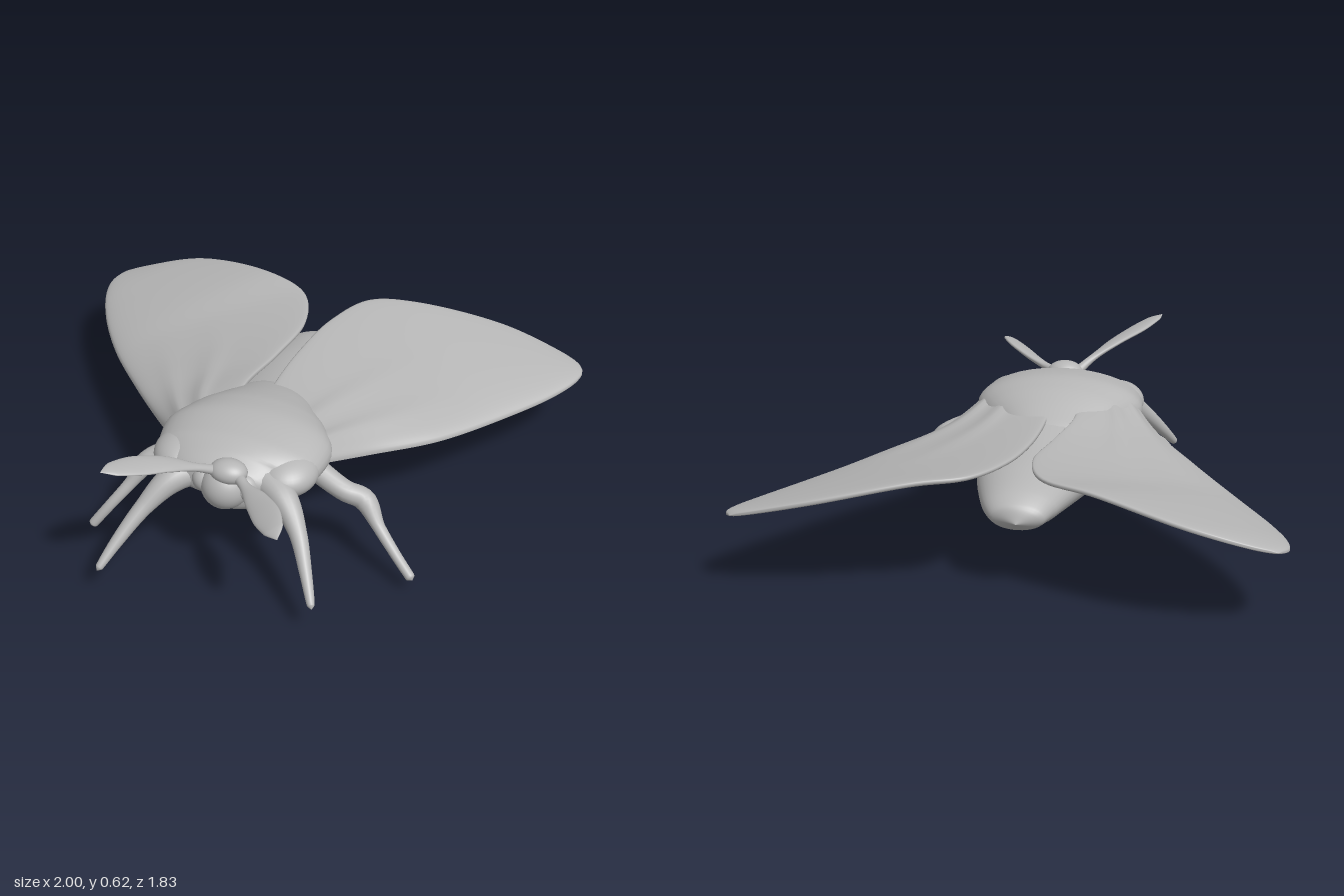
import * as THREE from 'three';

const grey = new THREE.MeshStandardMaterial({ color: 0xb6b6b6 });
grey.name = 'soft grey';
const V = (p) => new THREE.Vector3(p[0], p[1], p[2]);
const UP = new THREE.Vector3(0, 1, 0);

// Skin a stack of closed rings with smooth normals
function skin(name, rings, flip = false) {
  const n = rings[0].length, pos = [], idx = [];
  rings.forEach((r) => r.forEach((p) => pos.push(p.x, p.y, p.z)));
  for (let i = 0; i < rings.length - 1; i++) {
    for (let j = 0; j < n; j++) {
      const a = i * n + j, b = i * n + (j + 1) % n, c = a + n, d = b + n;
      if (flip) idx.push(a, c, b, b, c, d);
      else idx.push(a, b, c, b, d, c);
    }
  }
  const g = new THREE.BufferGeometry();
  g.setAttribute('position', new THREE.Float32BufferAttribute(pos, 3));
  g.setIndex(idx);
  g.computeVertexNormals();
  const mesh = new THREE.Mesh(g, grey);
  mesh.name = name;
  return mesh;
}

// Sweep an ellipse along stations [x, y, z, half width, half height], rolled about the path
function sweep(name, stations, { steps = 40, sides = 20, roll = 0 } = {}) {
  const path = new THREE.CatmullRomCurve3(stations.map(V), false, 'centripetal');
  const size = new THREE.CatmullRomCurve3(stations.map((s) => new THREE.Vector3(s[3], s[4] ?? s[3], 0)));
  const rings = [];
  for (let i = 0; i <= steps; i++) {
    const t = i / steps, p = path.getPoint(t), r = size.getPoint(t), dir = path.getTangent(t);
    const side = new THREE.Vector3().crossVectors(UP, dir).normalize().applyAxisAngle(dir, roll);
    const top = new THREE.Vector3().crossVectors(dir, side);
    const ring = [];
    for (let j = 0; j < sides; j++) {
      const a = (j / sides) * Math.PI * 2;
      ring.push(p.clone().addScaledVector(side, Math.cos(a) * Math.max(r.x, 0))
        .addScaledVector(top, Math.sin(a) * Math.max(r.y, 0)));
    }
    rings.push(ring);
  }
  return skin(name, rings);
}

function ball(name, x, y, z, rx, ry, rz) {
  const m = new THREE.Mesh(new THREE.SphereGeometry(1, 36, 24), grey);
  m.position.set(x, y, z);
  m.scale.set(rx, ry, rz);
  m.name = name;
  return m;
}

// Cambered wing between a leading edge and an inner/trailing edge that meet at the tip
function wing(name, lead, trail, flip) {
  const L = new THREE.CatmullRomCurve3(lead.map(V)), T = new THREE.CatmullRomCurve3(trail.map(V));
  const rings = [], bump = (s, at, width) => Math.exp(-(((s - at) / width) ** 2));
  for (let i = 0; i <= 64; i++) {
    const t = i / 64, thick = 0.019 * Math.sqrt(1 - t ** 8), ring = [];
    const front = L.getPointAt(t), back = T.getPointAt(t);
    for (let j = 0; j < 64; j++) {
      const a = (j / 64) * Math.PI * 2, s = (1 - Math.cos(a)) / 2, h = Math.sin(a);
      const p = front.clone().lerp(back, s);
      // blunt edges, arched camber, and soft folds fading away from the root
      p.y += thick * Math.sign(h) * Math.sqrt(Math.abs(h));
      p.y += 0.03 * Math.sin(Math.PI * Math.sqrt(s)) * (1 - t * t);
      p.y += 0.016 * Math.max(0, 1 - t / 0.55) * (bump(s, 0.2, 0.06) + bump(s, 0.48, 0.07));
      ring.push(p);
    }
    rings.push(ring);
  }
  return skin(name, rings, flip);
}

export function createModel() {
  const moth = new THREE.Group();
  moth.name = 'moth';

  // Abdomen and furry thorax that sinks into the wing roots
  moth.add(sweep('abdomen', [
    [-0.02, 0.37, 0.52, 0, 0], [-0.02, 0.36, 0.48, 0.12, 0.1], [-0.02, 0.345, 0.38, 0.2, 0.14],
    [-0.02, 0.325, 0.2, 0.25, 0.17], [-0.02, 0.31, 0.02, 0.255, 0.157], [-0.02, 0.305, -0.2, 0.225, 0.125],
    [-0.02, 0.305, -0.4, 0.18, 0.1], [-0.025, 0.3, -0.56, 0.135, 0.075], [-0.03, 0.285, -0.63, 0.095, 0.05],
    [-0.03, 0.275, -0.665, 0, 0],
  ], { steps: 60, sides: 36 }));
  moth.add(sweep('thorax', [
    [-0.02, 0.4, 0.57, 0, 0], [-0.02, 0.4, 0.54, 0.14, 0.06], [-0.025, 0.4, 0.48, 0.24, 0.095],
    [-0.025, 0.405, 0.4, 0.305, 0.12], [-0.025, 0.41, 0.28, 0.32, 0.13], [-0.03, 0.41, 0.16, 0.27, 0.118],
    [-0.035, 0.41, 0.06, 0.2, 0.09], [-0.045, 0.41, -0.05, 0.12, 0.05], [-0.05, 0.41, -0.15, 0, 0],
  ], { steps: 60, sides: 40 }));

  // Head with a crown tuft, eyes and shoulders
  moth.add(ball('head', -0.02, 0.39, 0.53, 0.09, 0.09, 0.09));
  moth.add(ball('crown', 0, 0.465, 0.55, 0.07, 0.045, 0.055));
  for (const s of [-1, 1]) {
    moth.add(ball('eye', -0.02 + s * 0.075, 0.4, 0.53, 0.05, 0.05, 0.05));
    moth.add(ball('shoulder', -0.025 + s * 0.2, 0.405, 0.4, 0.11, 0.075, 0.13));
  }

  // Wings
  moth.add(wing('leftWing',
    [[0.25, 0.42, 0.36], [0.4, 0.335, 0.11], [0.6, 0.295, -0.11], [0.8, 0.275, -0.385],
      [0.93, 0.273, -0.58], [0.99, 0.28, -0.7], [0.998, 0.287, -0.76], [0.97, 0.295, -0.805]],
    [[0, 0.48, 0.3], [-0.03, 0.46, 0], [-0.02, 0.45, -0.3], [0.03, 0.455, -0.55], [0.13, 0.46, -0.73],
      [0.3, 0.45, -0.79], [0.65, 0.38, -0.85], [0.9, 0.315, -0.825], [0.97, 0.295, -0.805]], true));
  moth.add(wing('rightWing',
    [[-0.29, 0.42, 0.36], [-0.42, 0.345, 0.17], [-0.6, 0.305, -0.06], [-0.8, 0.275, -0.33],
      [-0.93, 0.275, -0.55], [-0.99, 0.285, -0.7], [-1, 0.295, -0.79], [-0.97, 0.31, -0.86]],
    [[-0.08, 0.48, 0.3], [-0.13, 0.46, 0], [-0.09, 0.45, -0.25], [-0.06, 0.455, -0.5], [-0.13, 0.46, -0.7],
      [-0.32, 0.46, -0.81], [-0.65, 0.4, -0.915], [-0.88, 0.335, -0.89], [-0.97, 0.31, -0.86]], false));

  // Legs: thick at the hip, tapering to a rounded foot
  const leg = (name, pts, radii) => {
    const stations = pts.map((p, i) => [...p, radii[i]]), [a, b] = stations.slice(-2);
    const foot = b.map((v, i) => (i < 3 ? a[i] + (v - a[i]) * 0.88 : v));
    moth.add(sweep(name, [...stations.slice(0, -1), foot, [...pts.at(-1), 0]], { sides: 16 }));
  };
  const front = [0.06, 0.052, 0.033, 0.023, 0.014], mid = [0.045, 0.04, 0.041, 0.024, 0.02, 0.018];
  leg('frontRightLeg', [[-0.13, 0.4, 0.46], [-0.22, 0.375, 0.54], [-0.3, 0.29, 0.63], [-0.37, 0.185, 0.73], [-0.415, 0.105, 0.81]], front);
  leg('frontLeftLeg', [[0.1, 0.4, 0.46], [0.2, 0.375, 0.53], [0.28, 0.3, 0.61], [0.34, 0.2, 0.7], [0.39, 0.115, 0.785]], front);
  leg('middleRightLeg', [[-0.25, 0.35, 0.28], [-0.36, 0.29, 0.29], [-0.41, 0.255, 0.31], [-0.46, 0.18, 0.36], [-0.53, 0.09, 0.41], [-0.595, 0.003, 0.44]], mid);
  leg('middleLeftLeg', [[0.22, 0.36, 0.28], [0.36, 0.3, 0.31], [0.43, 0.265, 0.295], [0.5, 0.19, 0.34], [0.58, 0.12, 0.39], [0.66, 0.058, 0.44]], mid);

  // Leaf-shaped antennae, outer edges raised
  moth.add(sweep('rightAntenna', [
    [-0.04, 0.46, 0.55, 0.022, 0.02], [-0.09, 0.5, 0.61, 0.018, 0.014], [-0.17, 0.55, 0.69, 0.04, 0.012],
    [-0.25, 0.585, 0.78, 0.05, 0.012], [-0.31, 0.61, 0.86, 0.035, 0.009], [-0.34, 0.62, 0.905, 0, 0]], { roll: -0.2 }));
  moth.add(sweep('leftAntenna', [
    [0.03, 0.46, 0.55, 0.022, 0.02], [0.08, 0.46, 0.61, 0.02, 0.016], [0.15, 0.47, 0.69, 0.042, 0.014],
    [0.22, 0.483, 0.78, 0.052, 0.013], [0.275, 0.49, 0.86, 0.037, 0.011], [0.305, 0.49, 0.91, 0, 0]], { roll: 0.45 }));
  return moth;
}
